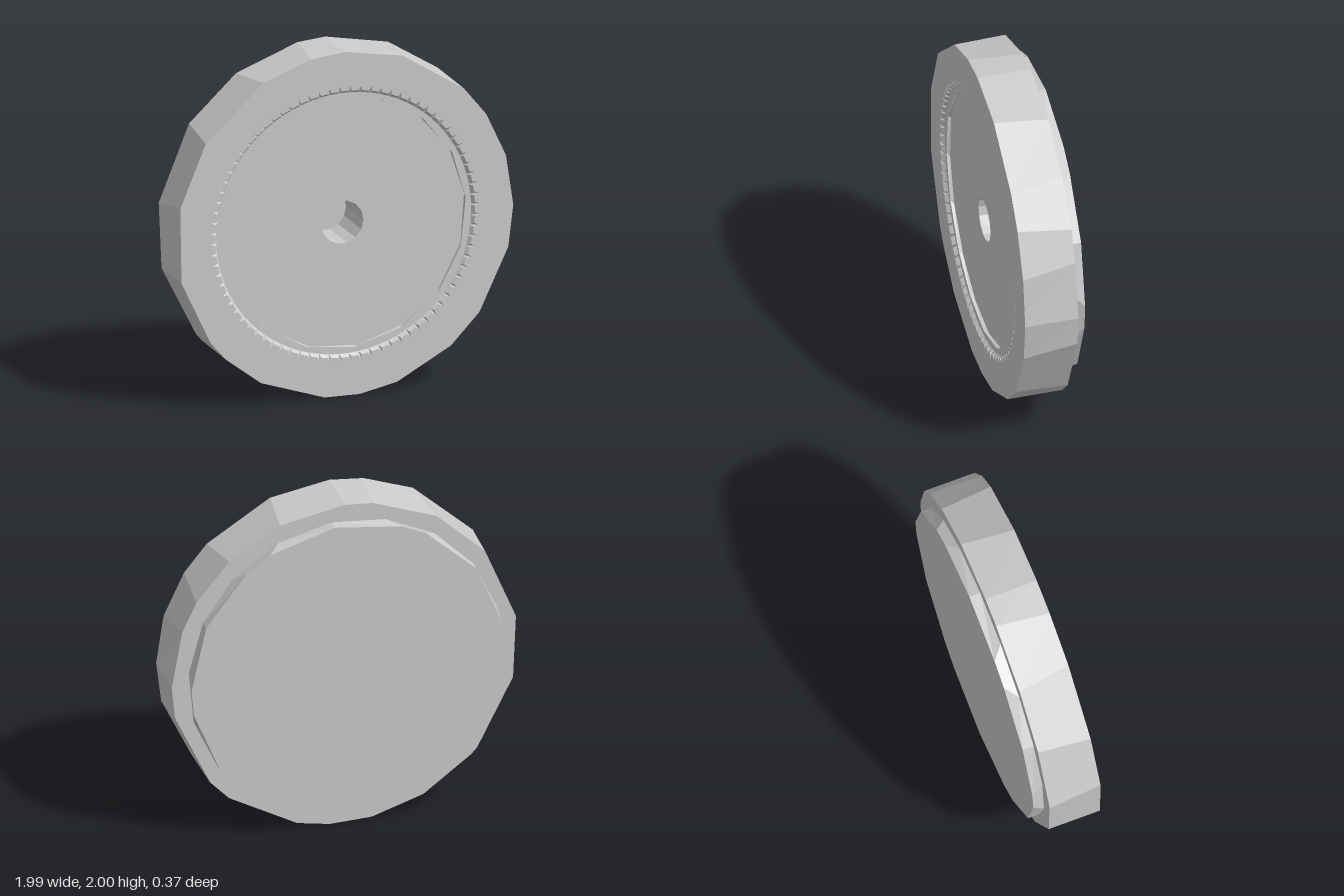
import * as THREE from 'three';

const material = new THREE.MeshStandardMaterial({ color: 0xcccccc, flatShading: true });
const FRONT = 0.185, BACK = -0.185, STEP = -0.12, LEDGE = 0.165, FLOOR = 0.145;

// Closed outline from angles in degrees; r may be a number or a function of the index
const outline = (degrees, r) => degrees.map((d, i) => {
  const a = THREE.MathUtils.degToRad(d), q = typeof r === 'function' ? r(i) : r;
  return new THREE.Vector2(q * Math.cos(a), q * Math.sin(a));
});
const even = (n, start = 0) => Array.from({ length: n }, (_, i) => start + i * 360 / n);

// Flat plate with an optional hole, facing front or back
function plate(name, points, z, hole = null, facesBack = false) {
  const shape = new THREE.Shape(points);
  if (hole) shape.holes.push(new THREE.Path(hole));
  const geo = new THREE.ShapeGeometry(shape);
  if (facesBack) {
    geo.setIndex(Array.from(geo.index.array).reverse());
    geo.computeVertexNormals();
  }
  geo.translate(0, 0, z);
  return named(name, geo);
}

// Band between two outlines; faces outward if za > zb, inward if za < zb
function wall(name, a, za, b, zb) {
  const pos = [], n = a.length;
  for (let i = 0; i < n; i++) {
    const j = (i + 1) % n;
    const A = [a[i].x, a[i].y, za], B = [b[i].x, b[i].y, zb];
    const C = [b[j].x, b[j].y, zb], D = [a[j].x, a[j].y, za];
    pos.push(...A, ...B, ...C, ...A, ...C, ...D);
  }
  const geo = new THREE.BufferGeometry();
  geo.setAttribute('position', new THREE.Float32BufferAttribute(pos, 3));
  geo.computeVertexNormals();
  return named(name, geo);
}

function named(name, geo) {
  const mesh = new THREE.Mesh(geo, material);
  mesh.name = name;
  return mesh;
}

export function createModel() {
  const group = new THREE.Group();
  group.name = 'wheel';

  // Uneven, coarse rim
  const rimAngles = [0, 17, 33, 45, 70, 90, 101.5, 119, 146, 168.5, 193.5, 217, 225, 240, 263, 275, 288, 309, 323, 346];
  const rimFront = outline(rimAngles, 1);
  const rimBack = outline(rimAngles.map((d, i) => d + (i % 2 ? 3 : -2) * (i % 5 ? 1 : 0)), 1);

  // Stepped rear disc
  const rearAngles = even(18, 5);
  const rearInner = outline(rearAngles, 0.905);
  const rearOuter = outline(rearAngles.map((d, i) => d + (i % 3 - 1) * 5), 0.905);

  // Ring of small pointed notches: four points per notch
  const notches = 80;
  const notchAngles = even(notches).flatMap(d => [d, d + 1.5, d + 2.25, d + 3]);
  const toothed = outline(notchAngles, i => (i % 4 === 2 ? 0.8 : 0.773));
  const ledgeEdge = outline(notchAngles, 0.757);

  // Shallow recess and the blind centre hole
  const recess = outline(even(16, 5), 0.728);
  const recessFloor = outline(even(16, 7), 0.728);
  const hole = outline(even(14), 0.125);

  group.add(
    plate('frontFace', rimFront, FRONT, toothed),
    wall('rim', rimFront, FRONT, rimBack, STEP),
    plate('rearShoulder', rimBack, STEP, rearInner, true),
    wall('rearDiscSide', rearInner, STEP, rearOuter, BACK),
    plate('rearFace', rearOuter, BACK, null, true),
    wall('notchedRing', ledgeEdge, LEDGE, toothed, FRONT),
    plate('ledge', ledgeEdge, LEDGE, recess),
    wall('recessWall', recessFloor, FLOOR, recess, LEDGE),
    plate('recessFloor', recessFloor, FLOOR, hole),
    wall('axleHoleWall', hole, STEP, hole, FLOOR),
    plate('axleHoleFloor', hole, STEP)
  );
  group.position.y = 1;

  const model = new THREE.Group();
  model.add(group);
  return model;
}
